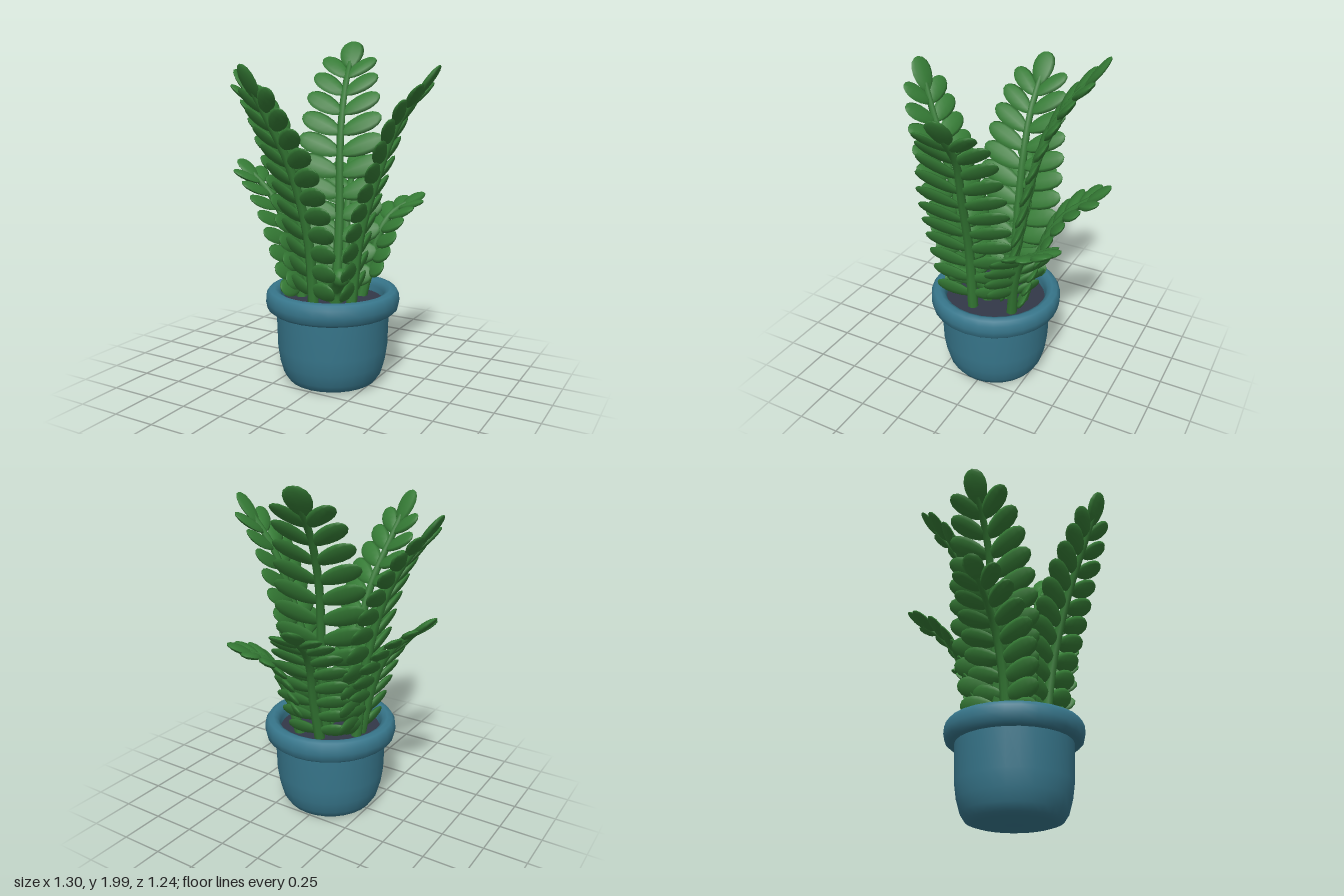
import * as THREE from 'three';
import { mergeGeometries } from 'three/addons/utils/BufferGeometryUtils.js';

const V = (x, y, z) => new THREE.Vector3(x, y, z);
const mat = (name, color) => {
  const m = new THREE.MeshStandardMaterial({ color });
  m.name = name;
  return m;
};
const mesh = (name, geometry, material) => {
  const m = new THREE.Mesh(geometry, material);
  m.name = name;
  return m;
};

// Thick oval leaflet growing from the origin along +x, narrower at its foot
function leafGeometry(length, width) {
  const g = new THREE.SphereGeometry(1, 8, 8).rotateZ(-Math.PI / 2);
  const p = g.attributes.position;
  for (let i = 0; i < p.count; i++) {
    const u = p.getX(i);
    p.setXYZ(i, (u + 1) * length / 2, p.getY(i) * width / 2 * (0.97 + 0.17 * u), p.getZ(i) * 0.02);
  }
  g.computeVertexNormals();
  return g;
}

// Tube that shrinks from radius r0 to r1
function taperedTube(curve, r0, r1) {
  const segs = 14, sides = 7;
  const g = new THREE.TubeGeometry(curve, segs, 1, sides);
  const p = g.attributes.position, v = V(0, 0, 0);
  for (let i = 0; i < p.count; i++) {
    const t = Math.floor(i / (sides + 1)) / segs;
    const c = curve.getPointAt(t);
    v.fromBufferAttribute(p, i).sub(c).multiplyScalar(r0 + (r1 - r0) * t).add(c);
    p.setXYZ(i, v.x, v.y, v.z);
  }
  return g;
}

// Curved stem with mirrored leaflets and one leaf at the tip
function frond({ name, path, pairs, length, width, tip = 0.21, start = 0.08 }, green) {
  const group = new THREE.Group();
  group.name = name;
  const curve = new THREE.CatmullRomCurve3(path.map(q => V(...q)));
  group.add(mesh(name + 'Stem', taperedTube(curve, 0.032, 0.018), green));

  const out = path[path.length - 1].map((c, i) => c - path[0][i]);
  const side = V(0, 1, 0).cross(V(out[0], 0, out[2])).normalize();
  const leaves = [];
  const addLeaf = (t, dir, normal, len, wid) => {
    const x = dir.clone().normalize();
    const y = normal.clone().cross(x).normalize();
    const z = x.clone().cross(y);
    const m = new THREE.Matrix4().makeBasis(x, y, z).setPosition(curve.getPointAt(t));
    leaves.push(leafGeometry(len, wid).applyMatrix4(m));
  };
  for (let i = 0; i < pairs; i++) {
    const f = i / (pairs - 1);
    const t = start + (0.91 - start) * f;
    const T = curve.getTangentAt(t);
    const N = T.clone().cross(side).normalize();
    const slat = N.clone().addScaledVector(T, 0.3);
    const angle = 0.22 + 0.2 * f + 0.35 * f ** 4;
    const len = length * (0.8 + 0.2 * Math.sin(Math.PI * f));
    for (const s of [-1, 1]) {
      const dir = side.clone().multiplyScalar(s * Math.cos(angle)).addScaledVector(T, Math.sin(angle));
      addLeaf(t, dir, slat, len, width * (1 - 0.12 * f ** 3));
    }
  }
  const T = curve.getTangentAt(1);
  addLeaf(0.96, T, T.clone().cross(side), tip, width * 1.08);
  group.add(mesh(name + 'Leaves', mergeGeometries(leaves), green));
  return group;
}

export function createModel() {
  const model = new THREE.Group();
  model.name = 'pottedPlant';
  const green = mat('leafGreen', 0x357b35);
  const blue = mat('potBlue', 0x37768b);
  const earth = mat('soilSlate', 0x323848);

  // Pot body and rounded rim
  const body = [[0, 0], [0.22, 0.004], [0.262, 0.018], [0.29, 0.06], [0.31, 0.13], [0.323, 0.22], [0.33, 0.45]];
  const rim = [[0.32, 0.435], [0.36, 0.432], [0.382, 0.45], [0.39, 0.49], [0.387, 0.53], [0.37, 0.555],
    [0.34, 0.562], [0.315, 0.55], [0.3, 0.52], [0.295, 0.45]];
  const lathe = pts => new THREE.LatheGeometry(pts.map(q => new THREE.Vector2(...q)), 28);
  const pot = new THREE.Group();
  pot.name = 'pot';
  pot.position.x = 0.012;
  pot.add(mesh('potBody', lathe(body), blue), mesh('potRim', lathe(rim), blue));
  const soil = mesh('soil', new THREE.CircleGeometry(0.31, 28).rotateX(-Math.PI / 2), earth);
  soil.position.y = 0.485;
  pot.add(soil);
  model.add(pot);

  // Four tall fronds, then three short ones
  const fronds = [
    { name: 'backFrond', pairs: 11, length: 0.275, width: 0.14,
      path: [[0, 0.47, -0.06], [-0.02, 0.95, -0.14], [-0.06, 1.4, -0.22], [-0.1, 1.7, -0.35], [-0.13, 1.87, -0.48]] },
    { name: 'frontFrond', pairs: 11, length: 0.24, width: 0.125,
      path: [[-0.01, 0.47, 0.18], [-0.01, 0.9, 0.24], [-0.05, 1.3, 0.36], [-0.1, 1.52, 0.46], [-0.145, 1.69, 0.54]] },
    { name: 'leftFrond', pairs: 11, length: 0.275, width: 0.125,
      path: [[0.17, 0.47, 0.07], [0.22, 0.9, 0.06], [0.32, 1.25, 0.04], [0.42, 1.53, 0.01], [0.55, 1.7, 0]] },
    { name: 'rightFrond', pairs: 11, length: 0.275, width: 0.125,
      path: [[-0.18, 0.47, -0.02], [-0.23, 0.9, -0.02], [-0.32, 1.28, -0.01], [-0.43, 1.52, 0], [-0.56, 1.69, 0]] },
    { name: 'lowRightFrond', pairs: 8, length: 0.23, width: 0.115, tip: 0.17,
      path: [[-0.18, 0.47, 0.03], [-0.24, 0.75, 0.03], [-0.32, 0.96, 0.02], [-0.42, 1.09, 0.01], [-0.54, 1.19, 0]] },
    { name: 'lowBackFrond', pairs: 8, length: 0.23, width: 0.115, tip: 0.17,
      path: [[-0.02, 0.47, -0.16], [-0.03, 0.75, -0.24], [-0.06, 0.96, -0.31], [-0.09, 1.1, -0.4], [-0.12, 1.2, -0.52]] },
    { name: 'lowBackLeftFrond', pairs: 6, length: 0.21, width: 0.12, tip: 0.16, start: 0.28,
      path: [[0.12, 0.47, -0.16], [0.17, 0.72, -0.2], [0.21, 0.9, -0.26], [0.25, 0.98, -0.33], [0.3, 1.02, -0.39]] },
  ];
  for (const f of fronds) model.add(frond(f, green));

  // Young bare shoot near the middle
  const shootPath = new THREE.CatmullRomCurve3([V(0.05, 0.47, 0.03), V(0.06, 0.57, 0.05), V(0.12, 0.64, 0.11), V(0.17, 0.68, 0.19)]);
  const bud = mesh('shootTip', new THREE.SphereGeometry(0.052, 10, 8), green);
  bud.position.set(0.17, 0.68, 0.19);
  model.add(mesh('shoot', taperedTube(shootPath, 0.045, 0.051), green), bud);
  return model;
}
